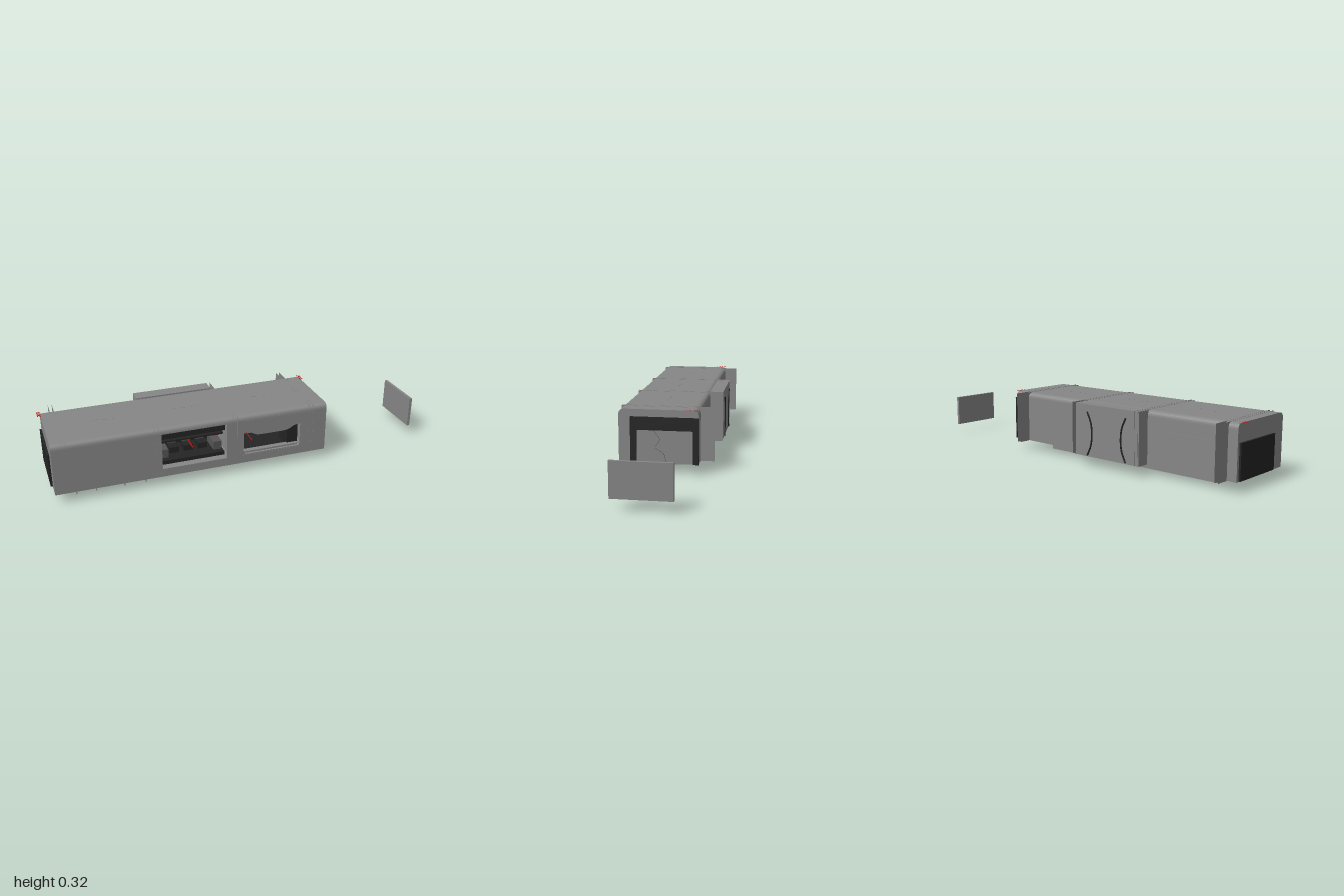
import * as THREE from 'three';

const grey = new THREE.MeshStandardMaterial({ color: 0x868686 });
const greyThin = new THREE.MeshStandardMaterial({ color: 0x868686, side: THREE.DoubleSide });
const midGrey = new THREE.MeshStandardMaterial({ color: 0x555555 });
const dark = new THREE.MeshStandardMaterial({ color: 0x242424 });
const red = new THREE.MeshStandardMaterial({ color: 0xc01010, side: THREE.DoubleSide });

const X0 = -0.98, X1 = 0.43, Y0 = 0.052, Y1 = 0.316, ZF = 0.231, ZB = -0.16, WALL = 0.012;

export function createModel() {
  const model = new THREE.Group();

  const add = (name, geometry, material = grey) => {
    const mesh = new THREE.Mesh(geometry, material);
    mesh.name = name;
    model.add(mesh);
    return mesh;
  };
  // Box given by its two extents on each axis
  const box = (name, [xa, xb], [ya, yb], [za, zb], material = grey) => {
    const mesh = add(name, new THREE.BoxGeometry(xb - xa, yb - ya, zb - za), material);
    mesh.position.set((xa + xb) / 2, (ya + yb) / 2, (za + zb) / 2);
    return mesh;
  };
  // Shape drawn in (-z, y), swept along x
  const sweepX = (name, shape, xa, xb, material = grey) => {
    const g = new THREE.ExtrudeGeometry(shape, { depth: xb - xa, bevelEnabled: false, curveSegments: 8 });
    g.rotateY(Math.PI / 2);
    g.translate(xa, 0, 0);
    return add(name, g, material);
  };
  const rect = (path, xa, xb, ya, yb) => {
    path.moveTo(xa, ya); path.lineTo(xb, ya); path.lineTo(xb, yb); path.lineTo(xa, yb); path.closePath();
    return path;
  };

  // Cross-section with rounded roof corners
  const R = 0.03;
  const outline = () => {
    const s = new THREE.Shape();
    s.moveTo(-ZF, Y0);
    s.lineTo(-ZB, Y0);
    s.lineTo(-ZB, Y1 - R);
    s.quadraticCurveTo(-ZB, Y1, -ZB - R, Y1);
    s.lineTo(-ZF + R, Y1);
    s.quadraticCurveTo(-ZF, Y1, -ZF, Y1 - R);
    return s;
  };

  // Floor, back and roof in one sweep, open at the front
  const shell = outline();
  shell.lineTo(-ZF + WALL, Y1 - R);
  shell.lineTo(-ZF + R, Y1 - WALL);
  shell.lineTo(-ZB - R, Y1 - WALL);
  shell.lineTo(-ZB - WALL, Y1 - R);
  shell.lineTo(-ZB - WALL, Y0 + WALL);
  shell.lineTo(-ZF, Y0 + WALL);
  sweepX('bodyShell', shell, X0, X1);
  sweepX('endWallRight', outline(), X0, X0 + WALL);
  sweepX('endWallLeft', outline(), X1 - WALL, X1);

  // Front wall with the cabin opening and the curved window
  const front = rect(new THREE.Shape(), X0, X1, Y0 + WALL, Y1 - R);
  front.holes.push(rect(new THREE.Path(), -0.45, -0.115, 0.095, Y1 - R - 0.001));
  const win = new THREE.Path();
  win.moveTo(-0.01, 0.1);
  win.lineTo(0.27, 0.1);
  win.quadraticCurveTo(0.285, 0.1, 0.285, 0.12);
  win.lineTo(0.285, 0.225);
  win.bezierCurveTo(0.23, 0.225, 0.24, 0.2, 0.19, 0.2);
  win.lineTo(0.07, 0.2);
  win.bezierCurveTo(0.02, 0.2, 0.03, 0.225, -0.025, 0.225);
  win.lineTo(-0.025, 0.12);
  win.quadraticCurveTo(-0.025, 0.1, -0.01, 0.1);
  front.holes.push(win);
  const frontGeo = new THREE.ExtrudeGeometry(front, { depth: WALL, bevelEnabled: false, curveSegments: 8 });
  frontGeo.translate(0, 0, ZF - WALL);
  add('frontWall', frontGeo);

  // Thin trim around the window panel
  const trim = rect(new THREE.Shape(), -0.035, 0.293, 0.092, 0.288);
  trim.holes.push(rect(new THREE.Path(), -0.032, 0.29, 0.095, 0.285));
  const trimGeo = new THREE.ExtrudeGeometry(trim, { depth: 0.001, bevelEnabled: false });
  trimGeo.translate(0, 0, ZF);
  add('windowTrim', trimGeo);

  // Cabin interior: lining, shelves, consoles and levers
  box('cabinBackWall', [-0.46, -0.1], [0.065, 0.3], [-0.02, 0], dark);
  box('cabinSide', [-0.456, -0.45], [0.065, 0.3], [0, 0.218], dark);
  box('cabinUpperPanel', [-0.45, -0.115], [0.24, 0.285], [0.14, 0.2], dark);
  box('cabinShelf', [-0.45, -0.115], [0.205, 0.213], [0.02, 0.17], dark);
  box('cabinRail', [-0.37, -0.3], [0.222, 0.227], [0.16, 0.165]);
  box('cabinDesk', [-0.45, -0.115], [0.095, 0.115], [0.02, 0.19], dark);
  for (const x of [-0.36, -0.285, -0.21]) {
    box('seatBase', [x - 0.025, x + 0.025], [0.115, 0.145], [0.06, 0.12], dark);
    box('seatBack', [x - 0.022, x + 0.022], [0.145, 0.185], [0.055, 0.07], midGrey);
  }
  for (const s of [-1, 1]) {
    const x = -0.2825 + s * 0.14;
    box('sideConsole', [x - 0.022, x + 0.022], [0.115, 0.16], [0.05, 0.16], midGrey);
    box('redLever', [x - 0.018, x + 0.018], [0.178, 0.182], [0.12, 0.125], red);
  }
  box('redTiller', [-0.285, -0.28], [0.165, 0.169], [0.1, 0.19], red);

  // Window bay: pale back wall, dark lining and a low sill
  box('bayBackWall', [-0.04, 0.3], [0.065, 0.3], [-0.01, 0]);
  box('bayFloor', [-0.04, 0.3], [0.064, 0.09], [0, 0.19], dark);
  box('baySide', [-0.044, -0.036], [0.065, 0.3], [0, 0.218], dark);
  box('baySill', [-0.03, 0.29], [0.066, 0.108], [0.19, 0.218]);
  box('bayCabinet', [0.225, 0.285], [0.09, 0.205], [0.1, 0.2], dark);
  box('redHandrail', [0.03, 0.034], [0.155, 0.159], [0.1, 0.2], red);

  // Rear bay with curved grab bars
  box('rearBay', [-0.485, -0.08], [Y0, Y1], [-0.226, ZB + 0.005]);
  for (const s of [-1, 1]) {
    const c = -0.2825;
    const curve = new THREE.CatmullRomCurve3(
      [[0.124, 0.278], [0.1, 0.225], [0.093, 0.165], [0.1, 0.11], [0.124, 0.057]]
        .map(([x, y]) => new THREE.Vector3(c + s * x, y, -0.2285)));
    add('grabBar', new THREE.TubeGeometry(curve, 20, 0.0042, 6, false), dark);
  }
  box('rearBayUnderPlate', [-0.37, -0.2], [0.0505, Y0], [-0.205, -0.12]);

  // Rear panels and rivet rows
  box('rearPanel', [-0.88, -0.53], [0.085, 0.225], [-0.163, ZB]);
  for (const [y, xa, xb] of [[0.25, 0.12, 0.22], [0.12, 0.02, 0.28]])
    for (let x = xa; x < xb; x += 0.03) box('rearRivet', [x, x + 0.01], [y, y + 0.003], [-0.161, ZB]);

  // Paired thin section frames, nearly flush in front and on top, proud at the rear
  for (const c of [-0.92, -0.47, -0.068, 0.345])
    for (const s of [-1, 1]) {
      const frame = add('sectionFrame', new THREE.PlaneGeometry(0.46, 0.265), greyThin);
      frame.rotation.y = Math.PI / 2;
      frame.position.set(c + s * 0.01, 0.1843, 0.002);
    }

  // Short wavy rows of vents on each roof section
  for (const c of [-0.69, -0.27, 0.14])
    for (let i = -4; i <= 4; i++) {
      const x = c + i * 0.015, z = 0.03 + 0.006 * Math.sin(i * 0.8);
      box('roofVent', [x - 0.004, x + 0.004], [Y1, 0.3168], [z - 0.002, z + 0.002]);
    }

  // End gaskets: arch with a grey door at one end, solid panel at the other
  const arch = new THREE.Shape();
  [[-0.173, 0.052], [-0.142, 0.052], [-0.142, 0.216], [0.132, 0.216], [0.132, 0.052], [0.162, 0.052], [0.162, 0.28], [-0.173, 0.28]]
    .forEach(([a, y], i) => (i ? arch.lineTo(a, y) : arch.moveTo(a, y)));
  sweepX('endArch', arch, X1, X1 + 0.009, dark);
  box('endDoor', [X1, X1 + 0.002], [0.055, 0.216], [-0.132, 0.142]);
  const seam = new THREE.CatmullRomCurve3([[0.06, 0.215], [0.03, 0.17], [0.05, 0.13], [0.01, 0.1], [0.0, 0.06]]
    .map(([z, y]) => new THREE.Vector3(X1 + 0.002, y, z)));
  add('doorSeam', new THREE.TubeGeometry(seam, 20, 0.0008, 4, false), midGrey);
  box('endPanel', [X0 - 0.01, X0], [0.055, 0.228], [-0.145, 0.147], dark);

  // Detached end plate
  box('detachedPlate', [0.985, 1.0], [0.053, 0.217], [-0.132, 0.142]);

  // Flat red rings at the roof corners
  for (const x of [X0 - 0.008, X1 + 0.004])
    for (const z of [-0.148, -0.128, -0.108]) {
      const ring = add('redCoupling', new THREE.RingGeometry(0.005, 0.01, 12), red);
      ring.rotation.x = -Math.PI / 2;
      ring.position.set(x, 0.3165, z);
    }

  // Keel beam with flat red hoops at both ends
  box('keelBeam', [-0.815, 0.255], [0, Y0], [-0.058, 0.068]);
  for (const x of [-0.815, 0.255])
    for (const z of [-0.035, 0.005, 0.045])
      for (const y of [0.012, 0.032])
        add('redHoop', new THREE.RingGeometry(0.006, 0.01, 12), red).position.set(x, y, z);

  // Underside brackets and hatches
  for (const [xa, xb] of [[-0.88, -0.78], [-0.645, -0.535]]) {
    for (const x of [xa, xb - 0.004]) box('bracketSide', [x, x + 0.004], [0.037, Y0], [0.175, 0.229]);
    box('bracketBar', [xa, xb], [0.037, Y0], [0.175, 0.179]);
  }
  box('darkHatch', [-0.24, -0.11], [0.0505, Y0], [0.1, 0.2], dark);
  box('greyHatch', [-0.43, -0.28], [0.0505, Y0], [0.1, 0.2]);

  return model;
}
